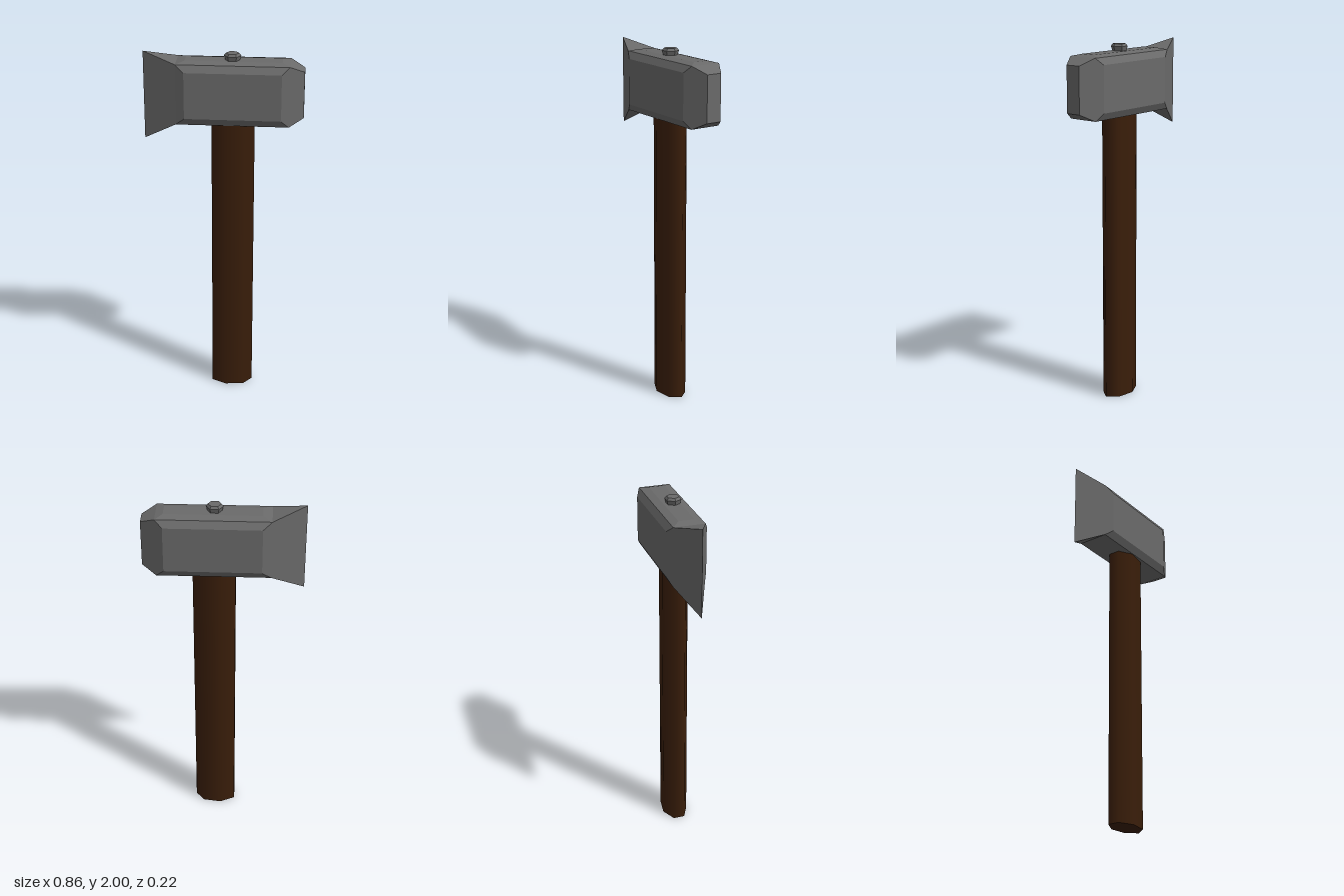
import * as THREE from 'three';

const steel = new THREE.MeshStandardMaterial({ color: 0x6a6a6a, flatShading: true });
const wood = new THREE.MeshStandardMaterial({ color: 0x3a1e0a });

// Flat polygons, each turned to face away from an inner point
function facetGeometry(polygons, inner) {
  const positions = [];
  for (const polygon of polygons) {
    const p = polygon.map((v) => new THREE.Vector3(...v));
    const normal = p[1].clone().sub(p[0]).cross(p[2].clone().sub(p[0]));
    if (normal.dot(p[0].clone().sub(inner)) < 0) p.reverse();
    for (let i = 1; i < p.length - 1; i++) {
      for (const v of [p[0], p[i], p[i + 1]]) positions.push(v.x, v.y, v.z);
    }
  }
  const geometry = new THREE.BufferGeometry();
  geometry.setAttribute('position', new THREE.Float32BufferAttribute(positions, 3));
  geometry.computeVertexNormals();
  return geometry;
}

// Ranges [min, max] per axis: bevel corners, flat panels and panel planes
const corner = [[-0.25, 0.351], [1.623, 1.952], [-0.086, 0.086]];
const panel = [[-0.203, 0.31], [1.663, 1.915], [-0.043, 0.043]];
const plane = [[-0.428, 0.428], [1.618, 1.963], [-0.109, 0.109]];
const ring = [[0, 0], [1, 0], [1, 1], [0, 1]];

function loop(axis, side, ranges, depth) {
  const u = (axis + 1) % 3;
  const v = (axis + 2) % 3;
  return ring.map(([i, j]) => {
    const point = [0, 0, 0];
    point[axis] = depth[axis][side];
    point[u] = ranges[u][i];
    point[v] = ranges[v][j];
    return point;
  });
}

function headPolygons() {
  const polygons = [];
  for (let axis = 0; axis < 3; axis++) {
    for (const side of [0, 1]) {
      if (axis === 0 && side === 0) continue; // the blade closes this end
      const outer = loop(axis, side, corner, corner);
      const inset = loop(axis, side, panel, plane);
      polygons.push(inset);
      for (let i = 0; i < 4; i++) {
        const j = (i + 1) % 4;
        polygons.push([outer[i], outer[j], inset[j], inset[i]]);
      }
    }
  }
  return polygons;
}

function bladePolygons() {
  const [x, [low, high], [back, front]] = [corner[0][0], corner[1], corner[2]];
  const tip = [-0.428, 2.0, 0.008];
  const heel = [-0.428, 1.515, 0.008];
  return [
    [[x, high, back], [x, high, front], tip],
    [[x, low, back], [x, low, front], heel],
    ...[back, front].map((z) => [[x, high, z], [x, low, z], heel, tip]),
  ];
}

export function createModel() {
  const model = new THREE.Group();
  const add = (name, geometry, material) => {
    const mesh = new THREE.Mesh(geometry, material);
    mesh.name = name;
    model.add(mesh);
    return mesh;
  };

  // Bevelled head and the flared blade at its end
  const inner = new THREE.Vector3(-0.15, 1.79, 0);
  add('head', facetGeometry(headPolygons(), inner), steel);
  add('blade', facetGeometry(bladePolygons(), inner), steel);

  // Seven-sided wooden handle, wider than it is deep, one corner towards +x
  const handle = add('handle', new THREE.CylinderGeometry(1, 1, 1.7, 7, 1, false, Math.PI / 2), wood);
  handle.scale.set(0.121, 1, 0.0745);
  handle.position.set(0.046, 0.85, 0.011);

  // Hexagonal cap on top of the head
  const profile = [[0.036, 1.955], [0.046, 1.987], [0.035, 2.0], [0, 2.0]];
  const cap = add('cap', new THREE.LatheGeometry(profile.map((p) => new THREE.Vector2(...p)), 6), steel);
  cap.rotation.y = Math.PI / 6;
  cap.position.set(0.047, 0, 0.009);

  return model;
}
